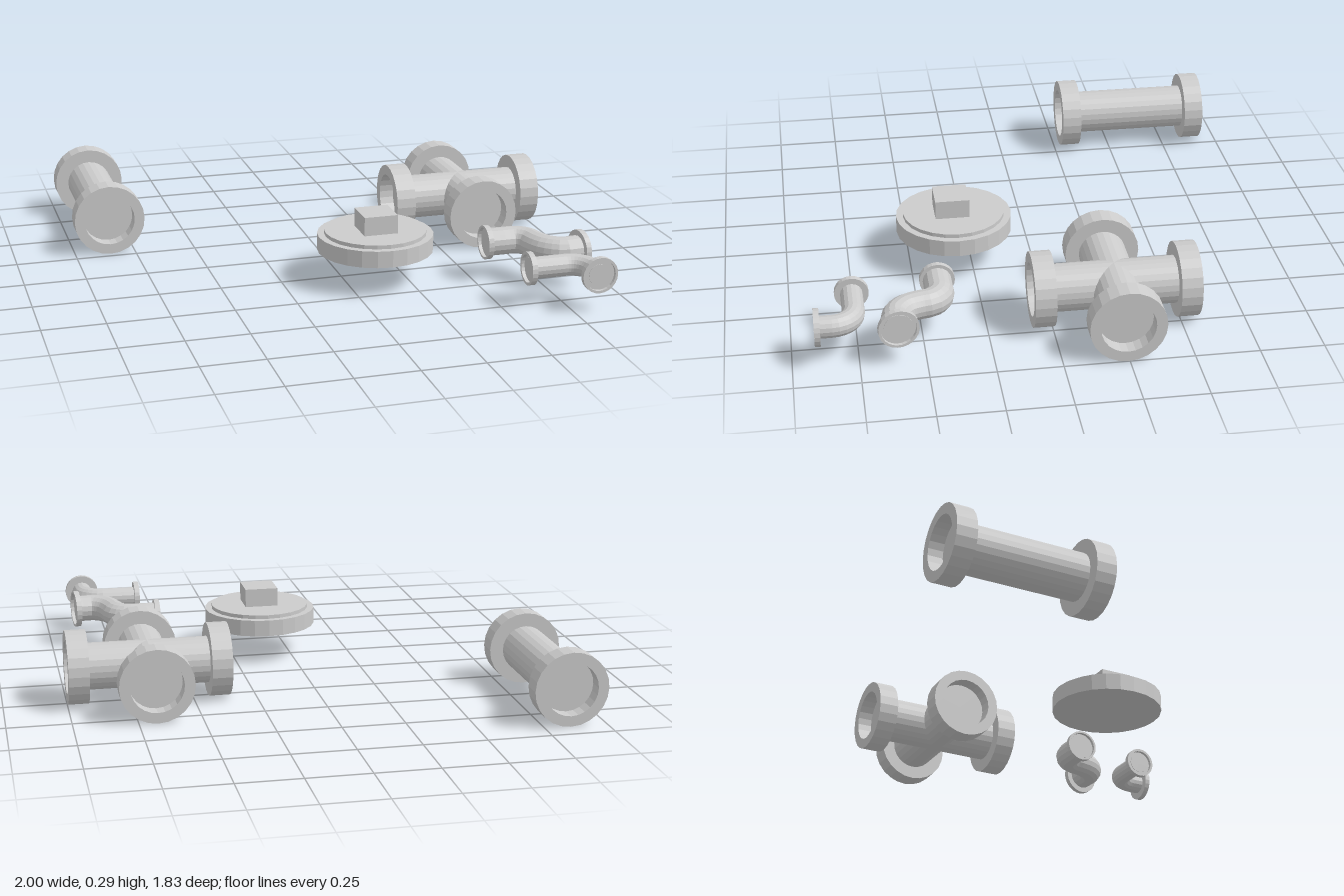
import * as THREE from 'three';

const SIDES = 24;
const UP = new THREE.Vector3(0, 1, 0);
const material = new THREE.MeshStandardMaterial({ color: 0xcccccc, flatShading: true });
const v = (x, y, z) => new THREE.Vector3(x, y, z);

function part(name, geometry, parent, x = 0, y = 0, z = 0) {
  const mesh = new THREE.Mesh(geometry, material);
  mesh.name = name;
  mesh.position.set(x, y, z);
  parent.add(mesh);
  return mesh;
}

function group(name, parent) {
  const g = new THREE.Group();
  g.name = name;
  parent.add(g);
  return g;
}

// Collar with a recessed, closed mouth; pos is the mouth centre, dir points out of it
function socket(name, parent, pos, dir, { outer, inner, pipe, length, depth }) {
  const profile = [
    [pipe * 0.9, -length], [outer, -length], [outer, 0],
    [inner, 0], [inner, -depth], [0, -depth],
  ].map(([r, h]) => new THREE.Vector2(r, h));
  const mesh = part(name, new THREE.LatheGeometry(profile, SIDES), parent, pos.x, pos.y, pos.z);
  mesh.quaternion.setFromUnitVectors(UP, dir.clone().normalize());
}

// Straight pipe between two sockets along an axis
const LARGE = { outer: 0.147, inner: 0.105, pipe: 0.093, length: 0.082, depth: 0.06 };
function straightPipe(parent, centre, axis, half) {
  const tube = part('pipe', new THREE.CylinderGeometry(LARGE.pipe, LARGE.pipe, 2 * half - 0.14, SIDES, 1, true),
    parent, centre.x, centre.y, centre.z);
  tube.quaternion.setFromUnitVectors(UP, axis);
  for (const s of [1, -1]) {
    const dir = axis.clone().multiplyScalar(s);
    socket('pipeCollar', parent, centre.clone().addScaledVector(dir, half), dir, LARGE);
  }
}

// Bent pipe along a curve, with a small flange at each end
function bentPipe(parent, curve, segments, radius, startFlange, endFlange) {
  part('bentTube', new THREE.TubeGeometry(curve, segments, radius, 16, false), parent);
  const base = { pipe: radius, length: 0.022, depth: 0.014 };
  socket('startFlange', parent, curve.getPoint(0).addScaledVector(curve.getTangent(0), -0.012),
    curve.getTangent(0).negate(), { ...base, ...startFlange });
  socket('endFlange', parent, curve.getPoint(1).addScaledVector(curve.getTangent(1), 0.012),
    curve.getTangent(1), { ...base, ...endFlange });
}

export function createModel() {
  const model = new THREE.Group();
  model.name = 'pipeFittings';

  // Straight coupling
  straightPipe(group('straightCoupling', model), v(-0.853, 0.147, -0.598), v(0, 0, 1), 0.322);

  // Four-way cross
  const cross = group('crossFitting', model);
  for (const axis of [v(1, 0, 0), v(0, 0, 1)]) {
    straightPipe(cross, v(0.677, 0.147, -0.243), axis, 0.322);
  }

  // Plug: rim, raised disc and square head
  const plug = group('plug', model);
  part('plugRim', new THREE.CylinderGeometry(0.234, 0.234, 0.068, SIDES), plug, 0.123, 0.164, 0.315);
  part('plugDisc', new THREE.CylinderGeometry(0.206, 0.206, 0.035, SIDES), plug, 0.123, 0.196, 0.315);
  part('plugHead', new THREE.BoxGeometry(0.138, 0.09, 0.138), plug, 0.123, 0.245, 0.325);

  // Offset bend
  const offsetCurve = new THREE.CatmullRomCurve3([
    [0.557, 0.427], [0.62, 0.427], [0.684, 0.43], [0.723, 0.465], [0.734, 0.511],
    [0.756, 0.566], [0.807, 0.606], [0.85, 0.606], [0.886, 0.602],
  ].map(([x, z]) => v(x, 0.152, z)));
  bentPipe(group('offsetBend', model), offsetCurve, 20, 0.056,
    { outer: 0.069, inner: 0.06 }, { outer: 0.078, inner: 0.068 });

  // Right-angle elbow
  const elbowCurve = new THREE.CurvePath();
  const k = 0.0855 * 0.45;
  elbowCurve.add(new THREE.LineCurve3(v(0.608, 0.152, 0.76), v(0.753, 0.152, 0.76)));
  elbowCurve.add(new THREE.CubicBezierCurve3(
    v(0.753, 0.152, 0.76), v(0.753 + 0.0855 - k, 0.152, 0.76),
    v(0.8385, 0.152, 0.76 + k), v(0.8385, 0.152, 0.8455)));
  elbowCurve.add(new THREE.LineCurve3(v(0.8385, 0.152, 0.8455), v(0.8385, 0.152, 0.9)));
  bentPipe(group('elbow', model), elbowCurve, 18, 0.043,
    { outer: 0.066, inner: 0.055 }, { outer: 0.072, inner: 0.062 });

  return model;
}
